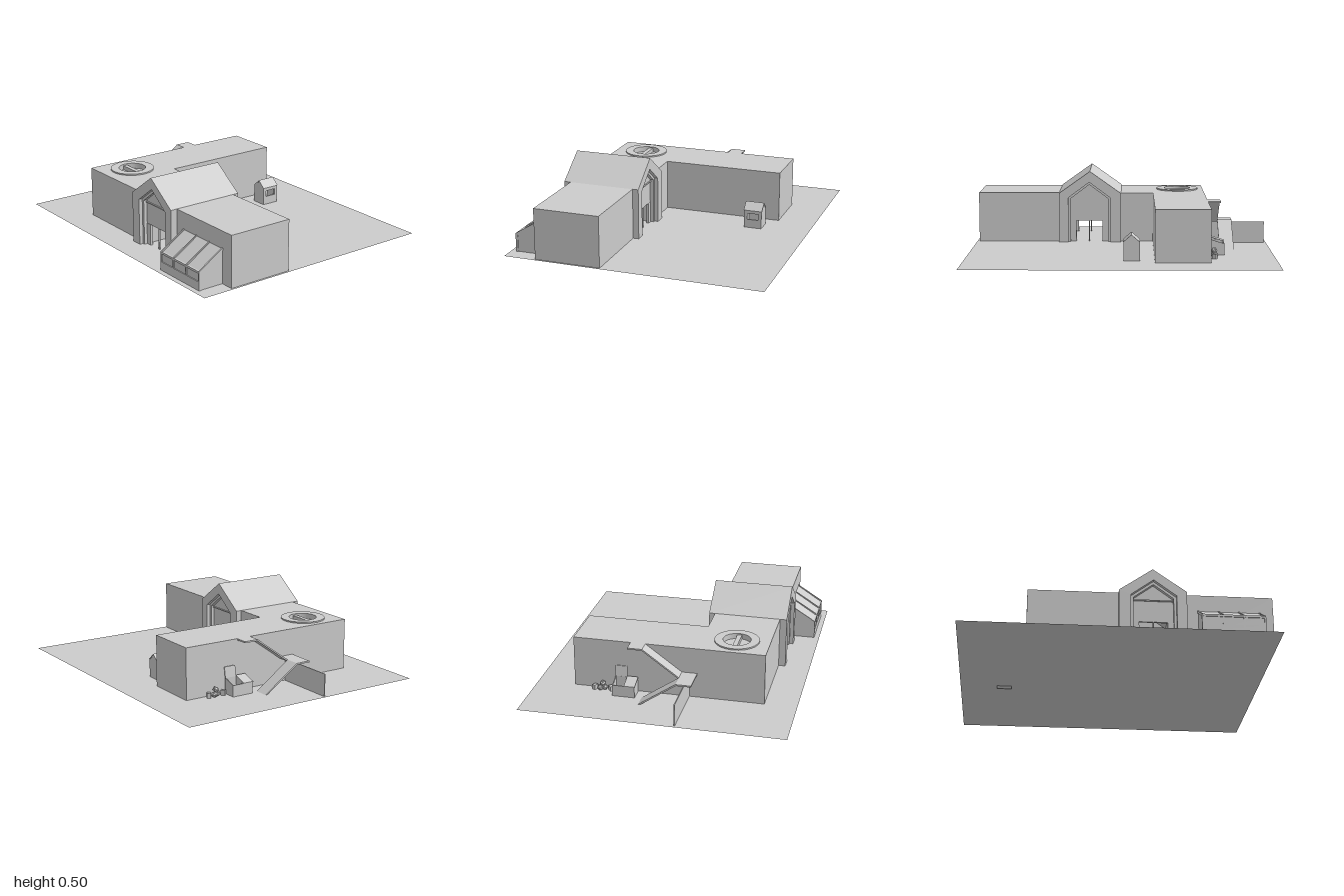
import * as THREE from 'three';

const mat = new THREE.MeshStandardMaterial({ color: 0xcccccc, flatShading: true, side: THREE.DoubleSide });
const G = 0.013; // ground level

export function createModel() {
  const model = new THREE.Group();
  const add = (name, geo, parent = model) => {
    const m = new THREE.Mesh(geo, mat);
    m.name = name;
    parent.add(m);
    return m;
  };
  const group = (name) => {
    const g = new THREE.Group();
    g.name = name;
    model.add(g);
    return g;
  };
  const shapeOf = (pts, holes = []) => {
    const s = new THREE.Shape(pts.map((p) => new THREE.Vector2(...p)));
    for (const h of holes) s.holes.push(new THREE.Path(h.map((p) => new THREE.Vector2(...p))));
    return s;
  };
  const extrude = (shape, depth) => new THREE.ExtrudeGeometry(shape, { depth, bevelEnabled: false, curveSegments: 24 });
  // box given by its limits
  const box = (x0, x1, y0, y1, z0, z1) =>
    new THREE.BoxGeometry(x1 - x0, y1 - y0, z1 - z0).translate((x0 + x1) / 2, (y0 + y1) / 2, (z0 + z1) / 2);
  // (z, y) profile swept along x, and (x, y) profile swept along z
  const alongX = (pts, x0, x1, holes) => extrude(shapeOf(pts, holes), x1 - x0).rotateY(-Math.PI / 2).translate(x1, 0, 0);
  const alongZ = (pts, z0, z1, holes) => extrude(shapeOf(pts, holes), z1 - z0).translate(0, 0, z0);
  const house = (z0, z1, eave, peak, base = G) => [[z0, base], [z1, base], [z1, eave], [(z0 + z1) / 2, peak], [z0, eave]];

  // Ground sheet
  add('ground', new THREE.PlaneGeometry(1.71, 2).rotateX(-Math.PI / 2).translate(0, G, 0));

  // L-shaped main wing with a round roof well
  const plan = shapeOf([[-0.645, 0], [-0.205, 0], [-0.205, 0.22], [0.605, 0.22], [0.605, 0.575], [-0.645, 0.575]]);
  plan.holes.push(new THREE.Path().absarc(-0.43, 0.395, 0.09, 0, Math.PI * 2, true));
  add('mainWing', extrude(plan, 0.352 - G).rotateX(-Math.PI / 2).translate(0, G, 0));
  add('frontWing', box(-0.645, -0.205, G, 0.352, 0.425, 0.985));

  // Roof vent: flat collar, sunken floor and cross bar
  const vent = group('roofVent');
  const collar = new THREE.Shape().absarc(0, 0, 0.145, 0, Math.PI * 2, false);
  collar.holes.push(new THREE.Path().absarc(0, 0, 0.09, 0, Math.PI * 2, true));
  add('ventCollar', extrude(collar, 0.012).rotateX(-Math.PI / 2).translate(-0.43, 0.349, -0.395), vent);
  add('ventFloor', new THREE.CircleGeometry(0.091, 32).rotateX(-Math.PI / 2).translate(-0.43, 0.325, -0.395), vent);
  add('ventBar', box(-0.445, -0.415, 0.325, 0.352, -0.483, -0.307), vent);

  // Gatehouse: gabled passage running along x
  const gate = group('gatehouse');
  add('gateShell', alongX(
    [[0, G], [0.075, G], [0.075, 0.322], [0.22, 0.43], [0.365, 0.322], [0.365, G], [0.43, G], [0.43, 0.352], [0.215, 0.505], [0, 0.352]],
    -0.69, -0.165), gate);
  add('innerFrame', alongX(
    [[0.075, G], [0.092, G], [0.092, 0.314], [0.22, 0.41], [0.348, 0.314], [0.348, G], [0.365, G], [0.365, 0.322], [0.22, 0.43], [0.075, 0.322]],
    -0.665, -0.19), gate);
  for (const x of [-0.635, -0.22]) {
    add('gablePane', alongX([[0.092, 0.305], [0.348, 0.305], [0.348, 0.314], [0.22, 0.41], [0.092, 0.314]], x - 0.006, x + 0.006), gate);
    add('crossBeam', box(x - 0.014, x + 0.014, 0.3, 0.308, 0.092, 0.348), gate);
    add('overdoorPanel', box(x - 0.006, x + 0.006, 0.155, 0.302, 0.092, 0.348), gate);
    add('centrePost', box(x - 0.005, x + 0.005, G, 0.155, 0.216, 0.224), gate);
    for (const z of [0.111, 0.329]) add('doorJamb', box(x - 0.008, x + 0.008, G, 0.156, z - 0.019, z + 0.019), gate);
  }

  // Lean-to greenhouse with glazing bars
  const lean = group('greenhouse');
  add('greenhouseBody', alongZ([[-0.814, G], [-0.645, G], [-0.645, 0.239], [-0.814, 0.13]], 0.505, 0.895), lean);
  for (let i = 0; i < 4; i++) {
    const z = 0.505 + i * 0.13;
    add('glazingBar', alongZ([[-0.82, G], [-0.805, G], [-0.805, 0.125], [-0.645, 0.228], [-0.645, 0.245], [-0.82, 0.136]], z - 0.005, z + 0.005), lean);
  }
  add('sillWall', box(-0.82, -0.805, G, 0.07, 0.5, 0.9), lean);
  add('eaveRail', box(-0.82, -0.808, 0.122, 0.136, 0.5, 0.9), lean);

  // Small kiosk with a serving window
  const kiosk = group('kiosk');
  const ends = house(-0.122, -0.022, 0.132, 0.176);
  for (const x of [0.417, 0.53]) add('kioskEnd', alongX(ends, x, x + 0.008), kiosk);
  add('kioskFront', alongZ([[0.417, G], [0.538, G], [0.538, 0.134], [0.417, 0.134]], -0.03, -0.02,
    [[[0.44, 0.07], [0.44, 0.112], [0.517, 0.112], [0.517, 0.07]]]), kiosk);
  add('kioskBack', box(0.417, 0.538, G, 0.134, -0.125, -0.117), kiosk);
  add('kioskRoof', alongX([[-0.125, 0.134], [-0.115, 0.134], [-0.0715, 0.172], [-0.028, 0.134], [-0.018, 0.134], [-0.0715, 0.181]], 0.415, 0.541), kiosk);

  // Rear stair: two ramps with landings
  const stair = group('rearStair');
  const flight = (x0, y0, x1, y1) => [[x0, y0], [x1, y1], [x1, y1 - 0.012], [x0, y0 - 0.012]];
  add('upperFlight', alongZ(flight(-0.11, 0.18, 0.128, 0.352), -0.66, -0.575), stair);
  add('topLanding', box(0.128, 0.225, 0.342, 0.352, -0.66, -0.575), stair);
  add('halfLanding', box(-0.21, -0.11, 0.17, 0.18, -0.757, -0.575), stair);
  add('lowerFlight', alongZ(flight(-0.11, 0.18, 0.135, 0.012), -0.757, -0.66), stair);
  add('yardWall', box(-0.159, -0.153, G, 0.16, -0.985, -0.575));

  // Waste container: open half with its lid raised, other half closed
  const bin = group('wasteContainer');
  const side = [[-0.675, G], [-0.59, G], [-0.59, 0.115], [-0.675, 0.088]];
  for (const x of [0.178, 0.242, 0.319]) add('binSide', alongX(side, x, x + 0.006), bin);
  add('binFront', box(0.178, 0.325, G, 0.088, -0.678, -0.672), bin);
  add('binBack', box(0.178, 0.325, G, 0.115, -0.595, -0.589), bin);
  add('binFloor', box(0.178, 0.325, 0.02, 0.028, -0.675, -0.59), bin);
  add('closedLid', alongX([[-0.682, 0.086], [-0.589, 0.115], [-0.589, 0.12], [-0.682, 0.091]], 0.175, 0.246), bin);
  add('openLid', alongX([[-0.589, 0.115], [-0.578, 0.185], [-0.583, 0.185], [-0.594, 0.115]], 0.246, 0.327), bin);

  // Rubbish sacks and crates beside it
  const rubbish = group('rubbish');
  [[0.352, 0.7], [0.46, -0.5]].forEach(([x, turn]) =>
    add('crate', new THREE.BoxGeometry(0.024, 0.032, 0.03).rotateY(turn).translate(x, 0.029, -0.606), rubbish));
  [[0.395, 0.032, -0.605], [0.423, 0.03, -0.613], [0.407, 0.058, -0.606]].forEach(([x, y, z], i) =>
    add('sack', new THREE.IcosahedronGeometry(0.021, 0).rotateY(i).translate(x, y, z), rubbish));

  return model;
}
